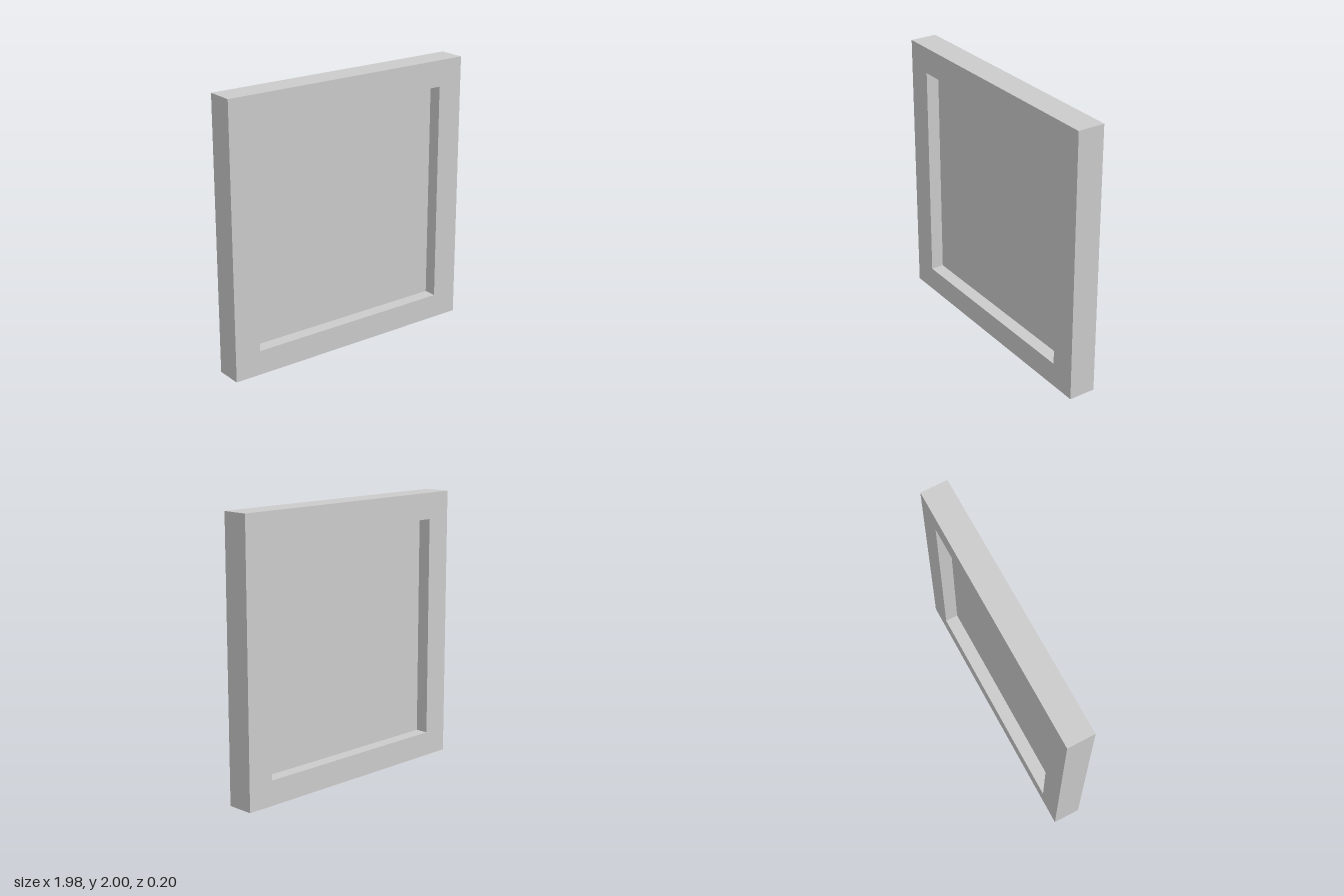
import * as THREE from 'three';

const WIDTH = 1.98, HEIGHT = 2, DEPTH = 0.2;
const OPENING = { halfWidth: 0.792, bottom: 0.18, top: 1.807 };

// Traces a rectangle, symmetric in x, onto a Shape or Path
function rectangle(path, halfWidth, bottom, top) {
  path.moveTo(-halfWidth, bottom);
  path.lineTo(halfWidth, bottom);
  path.lineTo(halfWidth, top);
  path.lineTo(-halfWidth, top);
  path.closePath();
  return path;
}

export function createModel() {
  const model = new THREE.Group();
  model.name = 'framedPanel';
  const material = new THREE.MeshStandardMaterial({ color: 0xcccccc });
  const { halfWidth, bottom, top } = OPENING;

  // Square-edged frame with one opening, slightly narrower along the bottom
  const outline = rectangle(new THREE.Shape(), WIDTH / 2, 0, HEIGHT);
  outline.holes.push(rectangle(new THREE.Path(), halfWidth, bottom, top));
  const frameGeometry = new THREE.ExtrudeGeometry(outline, { depth: DEPTH, bevelEnabled: false });
  frameGeometry.translate(0, 0, -DEPTH / 2);
  const frame = new THREE.Mesh(frameGeometry, material);
  frame.name = 'frame';

  // Thin pane set halfway through the frame, recessed on both sides
  const pane = new THREE.Mesh(
    new THREE.BoxGeometry(2 * halfWidth, top - bottom, 0.006), material);
  pane.position.y = (top + bottom) / 2;
  pane.name = 'pane';

  model.add(frame, pane);
  return model;
}
